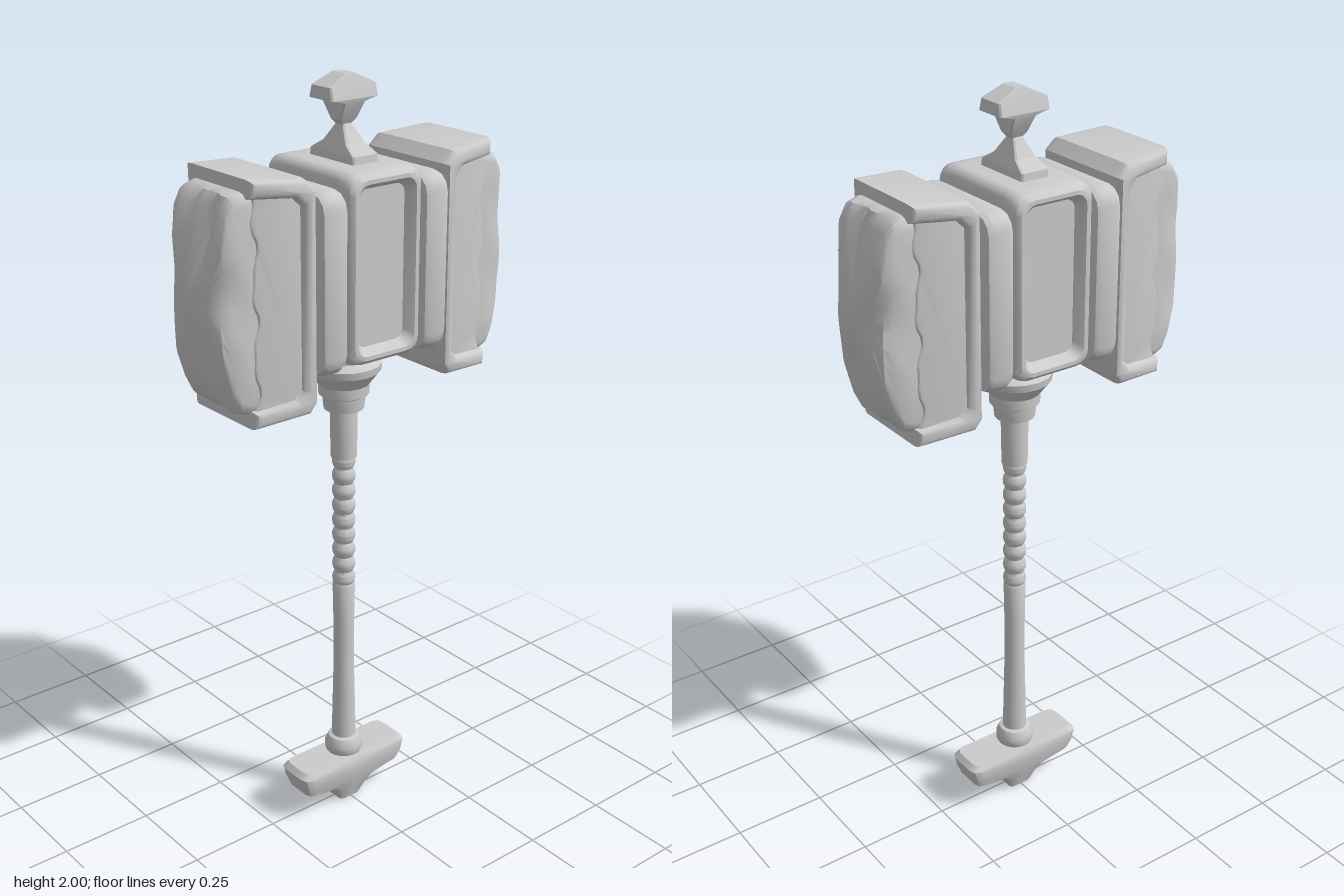
import * as THREE from 'three';
import { toCreasedNormals } from 'three/addons/utils/BufferGeometryUtils.js';

const material = new THREE.MeshStandardMaterial({ color: 0xcccccc });

function part(name, geometry, crease = 0.6) {
  const mesh = new THREE.Mesh(toCreasedNormals(geometry, crease), material);
  mesh.name = name;
  return mesh;
}

// Rectangle outline with rounded corners (n steps each) and m steps per side
function ring(ha, hb, r, n = 3, m = 1) {
  const corners = [[1, 1], [-1, 1], [-1, -1], [1, -1]];
  const pts = [];
  corners.forEach(([sa, sb], k) => {
    for (let i = 0; i <= n; i++) {
      const t = (k + i / n) * Math.PI / 2;
      pts.push([sa * (ha - r) + r * Math.cos(t), sb * (hb - r) + r * Math.sin(t)]);
    }
    const p = pts[pts.length - 1];
    const [na, nb] = corners[(k + 1) % 4];
    const t = (k + 1) * Math.PI / 2;
    const q = [na * (ha - r) + r * Math.cos(t), nb * (hb - r) + r * Math.sin(t)];
    for (let i = 1; i < m; i++) pts.push([p[0] + (q[0] - p[0]) * i / m, p[1] + (q[1] - p[1]) * i / m]);
  });
  return pts;
}

// Skin through sections [position, halfA, halfB, radius] along an axis.
// (a, b) is (x, y) for z, (z, x) for y and (y, z) for x.
function loft(axis, sections, n = 3, m = 1) {
  const pos = [], index = [];
  const put = (a, b, c) => pos.push(...(axis === 'z' ? [a, b, c] : axis === 'y' ? [b, c, a] : [c, a, b]));
  let count = 0;
  for (const [c, ha, hb, r] of sections) {
    const pts = ring(ha, hb, r, n, m);
    count = pts.length;
    pts.forEach(([a, b]) => put(a, b, c));
  }
  const last = sections.length - 1;
  for (let s = 0; s < last; s++) {
    for (let i = 0; i < count; i++) {
      const j = (i + 1) % count, p = s * count, q = p + count;
      index.push(p + i, p + j, q + j, p + i, q + j, q + i);
    }
  }
  const start = count * sections.length;
  put(0, 0, sections[0][0]);
  put(0, 0, sections[last][0]);
  for (let i = 0; i < count; i++) {
    const j = (i + 1) % count;
    index.push(start, j, i, start + 1, last * count + i, last * count + j);
  }
  const g = new THREE.BufferGeometry();
  g.setAttribute('position', new THREE.Float32BufferAttribute(pos, 3));
  g.setIndex(index);
  return g;
}

// Move every vertex by a rule
function warp(g, rule) {
  const p = g.attributes.position, v = new THREE.Vector3();
  for (let i = 0; i < p.count; i++) {
    rule(v.fromBufferAttribute(p, i));
    p.setXYZ(i, v.x, v.y, v.z);
  }
  return g;
}

function extrude(points, halfDepth, bevelThickness, bevelSize) {
  const shape = new THREE.Shape(points.map(([x, y]) => new THREE.Vector2(x, y)));
  const depth = 2 * (halfDepth - bevelThickness);
  return new THREE.ExtrudeGeometry(shape, {
    depth, bevelEnabled: bevelSize > 0, bevelThickness, bevelSize, bevelOffset: -bevelSize, bevelSegments: 3,
  }).translate(0, 0, -depth / 2);
}

const lathe = (pts, sides) => new THREE.LatheGeometry(pts.map(([r, y]) => new THREE.Vector2(r, y)), sides);

// Head parts narrow in depth toward the striking face
const taper = (v) => { v.z *= 1 - (v.x - 0.195) * 1.0; };

// One end of the head; sign keeps the stone's groove on the same side
function headEnd(sign) {
  const end = new THREE.Group();
  end.name = sign > 0 ? 'leftHeadEnd' : 'rightHeadEnd';

  const band = loft('x', [
    [0.118, 0.2, 0.145, 0.04], [0.122, 0.217, 0.163, 0.045], [0.135, 0.223, 0.167, 0.045],
    [0.175, 0.223, 0.167, 0.045], [0.188, 0.217, 0.163, 0.045], [0.192, 0.2, 0.145, 0.04],
  ]);
  end.add(part('band', band.translate(0, 1.547, 0)));

  // C-shaped frame, open toward the striking face
  const frame = extrude([
    [0.365, 0.295], [0.225, 0.284], [0.197, 0.255], [0.197, -0.255], [0.218, -0.284], [0.365, -0.295],
    [0.365, -0.25], [0.255, -0.24], [0.235, -0.22], [0.235, 0.22], [0.255, 0.24], [0.365, 0.25],
  ], 0.157, 0.03, 0.015);
  end.add(part('capFrame', warp(frame, taper).translate(0, 1.525, 0), 0.7));

  // Sunken plate with a ragged outer edge
  const plate = [[0.215, 0.26], [0.215, -0.26]];
  for (let i = 0; i <= 24; i++) {
    const y = -0.26 + 0.52 * i / 24;
    plate.push([0.352 + 0.007 * Math.sin(y * 38) + 0.004 * Math.sin(y * 71 + 1), y]);
  }
  end.add(part('capPlate', warp(extrude(plate, 0.138, 0.008, 0.006), taper).translate(0, 1.525, 0)));

  // Rough stone striking face
  const stone = loft('x', [
    [0.28, 0.262, 0.112, 0.03], [0.365, 0.264, 0.113, 0.03], [0.392, 0.255, 0.11, 0.03],
    [0.41, 0.225, 0.105, 0.03], [0.43, 0.16, 0.096, 0.03], [0.444, 0.085, 0.07, 0.03], [0.456, 0.025, 0.03, 0.02],
  ], 3, 8);
  warp(stone, (v) => {
    if (v.x < 0.38) return;
    const z = v.z * sign;
    v.x += 0.005 * Math.sin(v.y * 24 + z * 30) - 0.012 * Math.exp(-(((z - 0.03) / 0.018) ** 2));
    v.z += 0.004 * Math.sin(v.y * 31 + 1);
  });
  end.add(part('strikingStone', stone.translate(0, 1.525, 0), 0.7));

  if (sign < 0) end.rotation.y = Math.PI;
  return end;
}

export function createModel() {
  const hammer = new THREE.Group();
  hammer.name = 'warHammer';

  // Head: middle block with sunken panels front and back
  const half = [
    [0.105, 0.108, 0.235, 0.03], [0.135, 0.11, 0.233, 0.035], [0.155, 0.108, 0.228, 0.035],
    [0.165, 0.098, 0.218, 0.035], [0.165, 0.088, 0.208, 0.03], [0.155, 0.08, 0.2, 0.028], [0.138, 0.072, 0.192, 0.025],
  ];
  const back = half.map(([z, ...rest]) => [-z, ...rest]).reverse();
  hammer.add(part('headBlock', loft('z', [...back, ...half], 4).translate(0, 1.565, 0), 0.7));
  const core = part('headCore', new THREE.BoxGeometry(0.5, 0.4, 0.26));
  core.position.y = 1.545;
  hammer.add(core, headEnd(1), headEnd(-1));

  // Finial on top
  hammer.add(part('finialBase', loft('y', [
    [1.79, 0.085, 0.04, 0.004], [1.818, 0.082, 0.038, 0.004], [1.84, 0.045, 0.029, 0.004], [1.888, 0.011, 0.011, 0.003],
  ], 1), 0.3));
  hammer.add(part('finial', loft('y', [
    [1.878, 0.012, 0.012, 0.003], [1.893, 0.02, 0.026, 0.004], [1.935, 0.043, 0.033, 0.004],
    [1.944, 0.045, 0.07, 0.004], [1.974, 0.037, 0.069, 0.004], [2.0, 0.028, 0.014, 0.004],
  ], 1), 0.3));

  // Collar under the head
  hammer.add(part('collar', lathe([
    [0, 1.03], [0.034, 1.03], [0.036, 1.165], [0.052, 1.165], [0.056, 1.2], [0.065, 1.205], [0.066, 1.232],
    [0.094, 1.268], [0.097, 1.288], [0.074, 1.3], [0.07, 1.345], [0, 1.345],
  ], 16), 0.5));

  // Wrapped upper grip: a stack of soft bulges
  const grip = [];
  const bulges = 9;
  for (let i = 0; i <= bulges * 6; i++) {
    grip.push([0.024 + 0.007 * Math.abs(Math.sin(i / 6 * Math.PI)), 0.66 + 0.38 * i / (bulges * 6)]);
  }
  hammer.add(part('wrappedGrip', lathe(grip, 16), 0.9));

  // Plain lower shaft and pommel ring
  hammer.add(part('shaft', lathe([
    [0, 0.17], [0.034, 0.17], [0.032, 0.25], [0.028, 0.42], [0.028, 0.55], [0.03, 0.662], [0.025, 0.672], [0, 0.672],
  ], 16), 0.5));
  hammer.add(part('pommelRing', lathe([
    [0, 0.135], [0.044, 0.135], [0.052, 0.155], [0.052, 0.172], [0.043, 0.192], [0.03, 0.197], [0, 0.197],
  ], 16), 0.6));

  // Pommel: wide cross-bar with a narrowing keel
  hammer.add(part('pommel', loft('y', [
    [0, 0.032, 0.035, 0.012], [0.035, 0.042, 0.052, 0.014], [0.06, 0.05, 0.085, 0.02], [0.072, 0.052, 0.16, 0.02],
    [0.1, 0.06, 0.17, 0.022], [0.13, 0.059, 0.178, 0.022], [0.145, 0.05, 0.165, 0.02],
  ], 2, 2), 0.6));

  return hammer;
}
